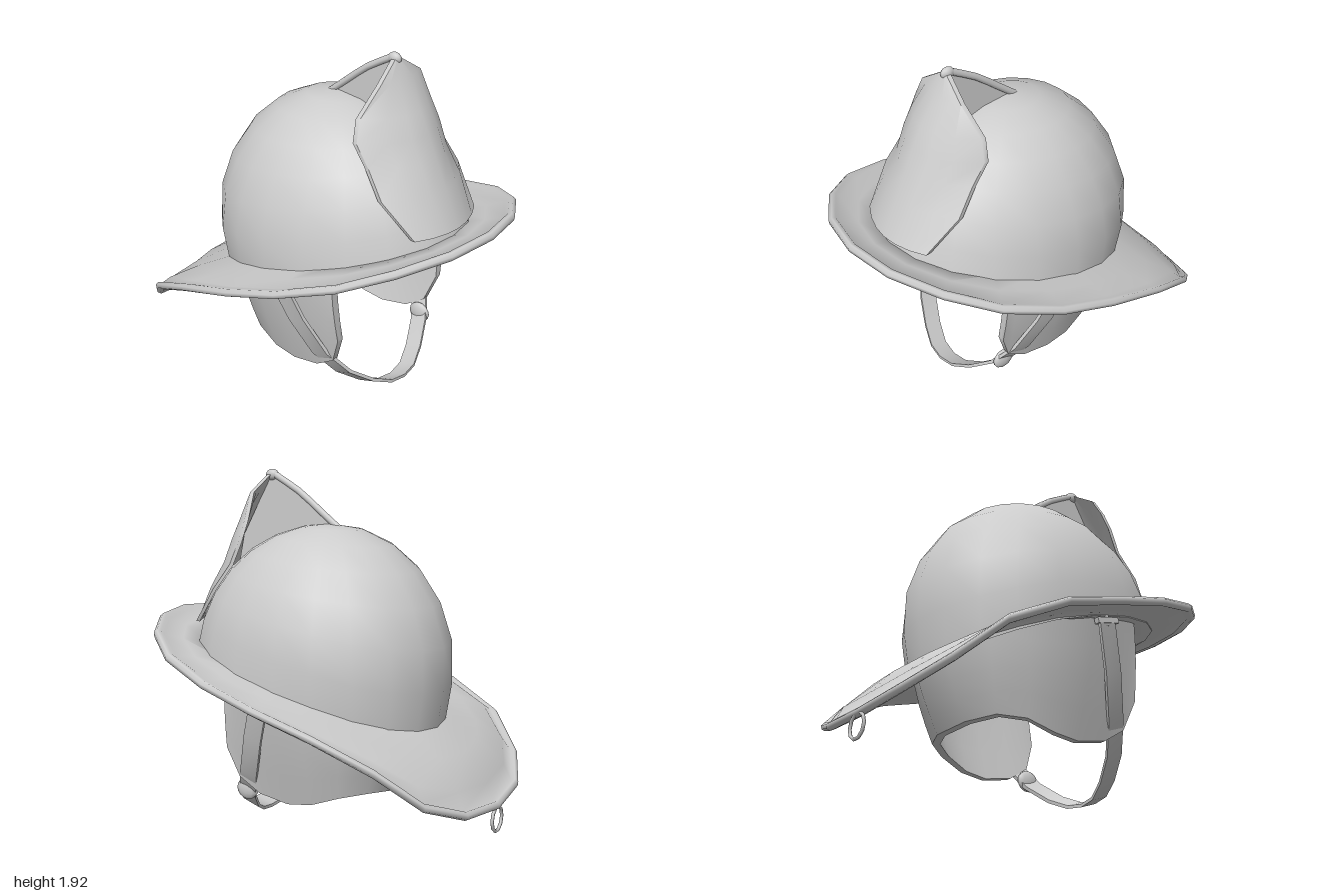
import * as THREE from 'three';
import { toCreasedNormals } from 'three/addons/utils/BufferGeometryUtils.js';

const shell = new THREE.MeshStandardMaterial({ color: 0xcccccc });
shell.name = 'shellGrey';

const lerp = THREE.MathUtils.lerp;
const mirrorX = ([x, ...rest]) => [-x, ...rest];

// Skins closed cross-section rings into a solid, facing outwards.
// loop joins last ring to first; cap pinches each end ring onto its own midline.
function solid(rings, { loop = false, cap = false, crease = 0.75 } = {}) {
  if (cap) {
    const pinch = (r) => r.map((p, j) => p.map((v, k) => (v + r[r.length - 1 - j][k]) / 2));
    rings = [pinch(rings[0]), ...rings, pinch(rings[rings.length - 1])];
  }
  const tris = [], n = rings[0].length;
  const same = (a, b) => Math.hypot(a[0] - b[0], a[1] - b[1], a[2] - b[2]) < 1e-6;
  const add = (a, b, c) => { if (!same(a, b) && !same(b, c) && !same(c, a)) tris.push([a, b, c]); };
  for (let i = 0; i < rings.length - (loop ? 0 : 1); i++) {
    const r = rings[i], s = rings[(i + 1) % rings.length];
    for (let j = 0; j < n; j++) {
      const k = (j + 1) % n;
      add(r[j], s[j], s[k]);
      add(r[j], s[k], r[k]);
    }
  }
  let volume = 0;
  for (const [a, b, c] of tris) {
    volume += a[0] * (b[1] * c[2] - b[2] * c[1]) + a[1] * (b[2] * c[0] - b[0] * c[2]) + a[2] * (b[0] * c[1] - b[1] * c[0]);
  }
  if (volume < 0) tris.forEach((t) => t.reverse());
  const geo = new THREE.BufferGeometry();
  geo.setAttribute('position', new THREE.Float32BufferAttribute(tris.flat(2), 3));
  return toCreasedNormals(geo, crease);
}

// Sloping lining plane, and the crown-to-brim seam, which dips further at the back
const SEGMENTS = 20;
const liningY = (z) => 0.795 + 0.25 * z;
const seamY = (z) => 0.812 + (z > 0 ? 0.28 : 0.25) * z - 0.12 * Math.max(0, -z - 0.1);
const footprint = Array.from({ length: SEGMENTS }, (_, i) => {
  const a = (i / SEGMENTS) * Math.PI * 2; // starts at the back
  return [0.6 * Math.sin(a), -Math.cos(a) * (Math.cos(a) > 0 ? 0.685 : 0.785)];
});

// Domed crown, closed underneath by the lining
function crownGeometry() {
  const ROWS = 7;
  const rows = [0, 0.9].map((f) => footprint.map(([x, z]) => [x * f, liningY(z * f), z * f]));
  for (let j = 0; j <= ROWS; j++) {
    const s = Math.sin((j / ROWS) * Math.PI / 2);
    rows.push(footprint.map(([x, z]) => {
      const y = lerp(seamY(z) - 0.02, 1.635, s);
      const h = (y - 0.87) / 0.765;
      const f = j === ROWS ? 0 : h > 0 ? Math.sqrt(1 - h * h) : 1 + h * 0.18;
      return [x * f, y, z * f];
    }));
  }
  return solid(rows);
}

// Brim with a rolled edge
function brimGeometry() {
  const half = [ // x, y, z of the outer edge, back to front
    [0, 0.225, -1], [0.34, 0.255, -0.97], [0.6, 0.35, -0.86], [0.76, 0.53, -0.67], [0.845, 0.675, -0.37],
    [0.85, 0.775, -0.03], [0.82, 0.87, 0.28], [0.71, 0.965, 0.58], [0.52, 1.045, 0.8], [0.27, 1.095, 0.95], [0, 1.112, 1]];
  const outer = [...half, ...half.slice(1, -1).reverse().map(mirrorX)];
  const rim = 0.024;
  return solid(outer.map(([ox, oy, oz], i) => {
    const ix = footprint[i][0] * 0.92, iz = footprint[i][1] * 0.92, iy = seamY(iz);
    const len = Math.hypot(ox - ix, oz - iz);
    const dx = (ox - ix) / len, dz = (oz - iz) / len;
    const at = (t, dy) => {
      const bow = 0.09 * Math.sin(Math.PI * t) * Math.max(0, -oz - 0.5);
      return [lerp(ix, ox, t), lerp(iy, oy, t) + bow + dy, lerp(iz, oz, t)];
    };
    const roll = [130, 75, 20, -35, -90, -140].map((deg) => {
      const a = THREE.MathUtils.degToRad(deg), r = rim * (Math.cos(a) - 1);
      return [ox + dx * r, oy + rim * Math.sin(a), oz + dz * r];
    });
    return [at(0, 0.012), at(0.45, 0.012), at(0.8, 0.012), ...roll, at(0.8, -0.012), at(0.45, -0.012), at(0, -0.012)];
  }), { loop: true, crease: 1.5 });
}

// Ear and neck flap, open at the front
function flapGeometry() {
  const half = [ // top x, top z, hem x, hem y, hem z
    [0.485, 0.365, 0.45, 0.46, 0.38], [0.505, 0.32, 0.42, 0.3, 0.32], [0.535, 0.2, 0.41, 0.22, 0.2],
    [0.555, 0.03, 0.405, 0.185, 0.03], [0.54, -0.12, 0.4, 0.2, -0.11], [0.48, -0.31, 0.37, 0.25, -0.26],
    [0.35, -0.48, 0.28, 0.27, -0.38], [0.13, -0.615, 0.12, 0.26, -0.455]];
  const columns = [...half, ...half.slice().reverse().map(([tx, tz, hx, hy, hz]) => [-tx, tz, -hx, hy, hz])];
  const steps = [0, 0.25, 0.5, 0.75, 1];
  return solid(columns.map(([tx, tz, hx, hy, hz]) => {
    const wall = (inset) => steps.map((t) => {
      const b = (1 + 0.025 * Math.sin(Math.PI * t)) * inset;
      return [lerp(tx, hx, t) * b, lerp(liningY(tz) + 0.015, hy, t), lerp(tz, hz, t) * (tz < 0 ? b : 1)];
    });
    return [...wall(1), ...wall(0.91).reverse()];
  }), { cap: true });
}

// Curved front shield plate
function shieldGeometry() {
  const rows = [ // y, half width, centre z, edge z
    [1.09, 0.255, 0.79, 0.71], [1.28, 0.32, 0.705, 0.55], [1.42, 0.3, 0.64, 0.45], [1.54, 0.315, 0.588, 0.385],
    [1.65, 0.275, 0.535, 0.37], [1.8, 0.16, 0.44, 0.405], [1.89, 0.025, 0.39, 0.385]];
  const across = [-1, -0.67, -0.33, 0, 0.33, 0.67, 1];
  return solid(rows.map(([y, w, zc, ze]) => {
    const face = (dz) => across.map((u) => [u * w, y, lerp(zc, ze, u * u) + dz]);
    return [...face(0), ...face(-0.024).reverse()];
  }), { cap: true });
}

// Chin strap ribbon running ear to ear, outside the flaps
function strapGeometry() {
  const half = [[0.585, 0.79, 0.08], [0.525, 0.55, 0.165], [0.438, 0.33, 0.25], [0.335, 0.19, 0.325],
    [0.21, 0.095, 0.385], [0.1, 0.045, 0.425], [0, 0.032, 0.435]];
  const path = [...half, ...half.slice(0, -1).reverse().map(mirrorX)];
  return solid(path.map(([x, y, z], i) => {
    const a = path[Math.max(i - 1, 0)], b = path[Math.min(i + 1, path.length - 1)];
    const len = Math.hypot(b[0] - a[0], b[1] - a[1]);
    const nx = -(b[1] - a[1]) / len * 0.009, ny = (b[0] - a[0]) / len * 0.009;
    const corner = (side, w) => [x + nx * side, y + ny * side + w * 0.018, z + w * 0.05];
    return [corner(1, -1), corner(1, 1), corner(-1, 1), corner(-1, -1)];
  }), { cap: true });
}

export function createModel() {
  const helmet = new THREE.Group();
  helmet.name = 'helmet';
  const part = (name, geometry, x = 0, y = 0, z = 0) => {
    const mesh = new THREE.Mesh(geometry, shell);
    mesh.name = name;
    mesh.position.set(x, y, z);
    helmet.add(mesh);
    return mesh;
  };

  part('crown', crownGeometry());
  part('brim', brimGeometry());
  part('neckFlap', flapGeometry());
  part('frontShield', shieldGeometry());
  part('chinStrap', strapGeometry());

  // Fin and rod bracing the shield against the crown
  const fin = new THREE.Shape([[0.37, 1.885], [0.19, 1.8], [0.075, 1.71], [-0.08, 1.59], [0.3, 1.48], [0.58, 1.42], [0.55, 1.56]]
    .map(([z, y]) => new THREE.Vector2(z, y)));
  part('shieldFin', new THREE.ExtrudeGeometry(fin, { depth: 0.014, bevelEnabled: false })
    .rotateY(-Math.PI / 2).translate(0.007, 0, 0));
  const rodPath = new THREE.CatmullRomCurve3([[1.895, 0.355], [1.8, 0.19], [1.71, 0.075], [1.585, -0.085]]
    .map(([y, z]) => new THREE.Vector3(0, y, z)));
  part('shieldRod', new THREE.TubeGeometry(rodPath, 6, 0.019, 8));
  part('shieldTip', new THREE.SphereGeometry(0.026, 10, 8), 0, 1.89, 0.365).scale.set(0.95, 1.2, 1.5);

  // Hanging ring at the back of the brim
  part('backRing', new THREE.TorusGeometry(0.066, 0.009, 6, 10), 0, 0.155, -0.985);

  // Strap buckle, on one side only
  part('buckle', new THREE.SphereGeometry(0.06, 10, 8), 0.36, 0.22, 0.31).scale.set(0.42, 1, 1.1);

  // Strap hangers under the brim
  for (const side of [-1, 1]) {
    const hanger = part('strapHanger', new THREE.BoxGeometry(0.03, 0.03, 0.14), side * 0.58, 0.79, 0.085);
    hanger.rotation.x = -0.25;
    part('strapHook', new THREE.CylinderGeometry(0.01, 0.01, 0.08, 8), side * 0.58, 0.8, 0.085);
  }
  return helmet;
}
